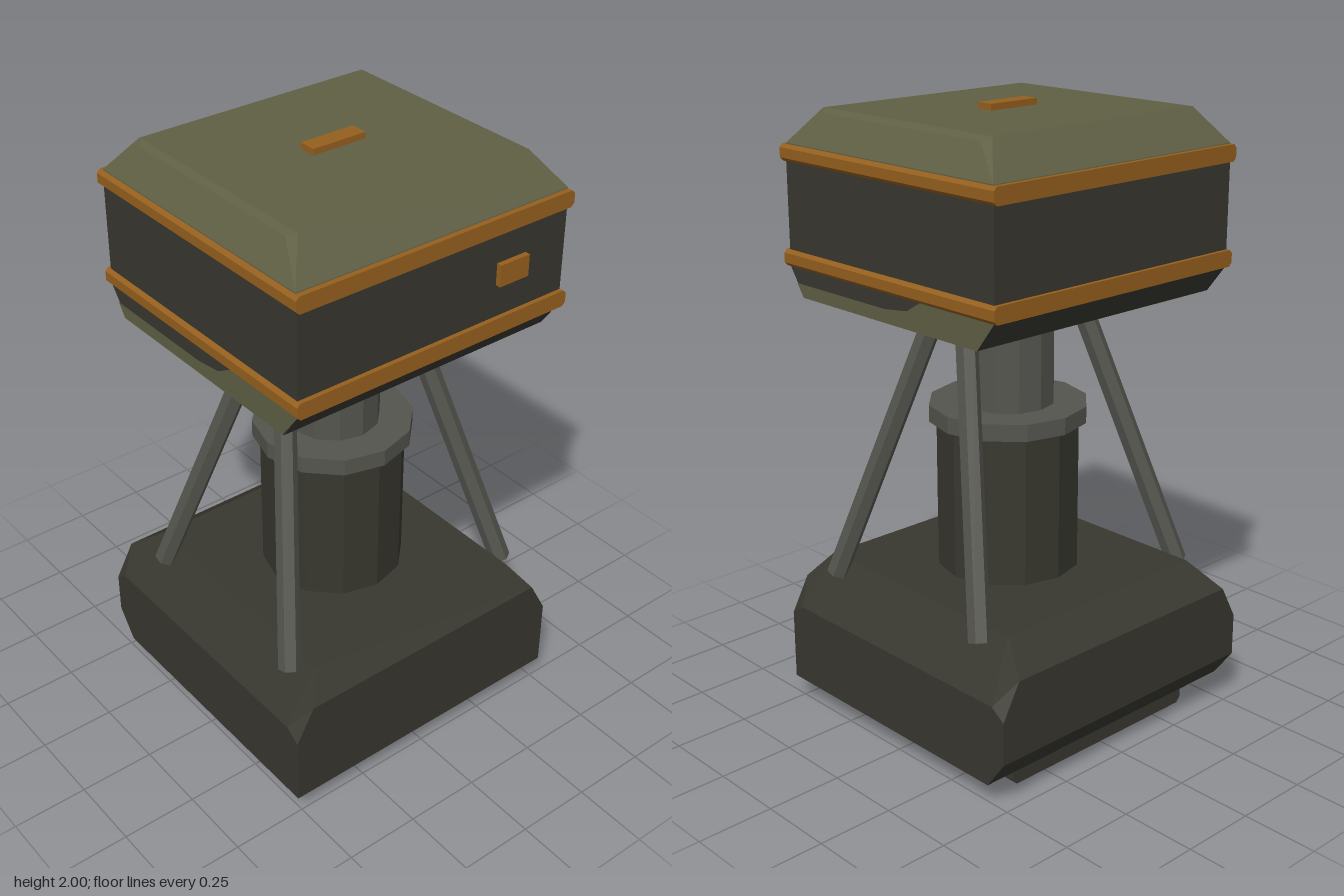
import * as THREE from 'three';
import { ConvexGeometry } from 'three/addons/geometries/ConvexGeometry.js';

const mat = (name, color) => {
  const m = new THREE.MeshStandardMaterial({ color });
  m.name = name;
  return m;
};

export function createModel() {
  const model = new THREE.Group();
  model.name = 'pedestalUnit';
  const dark = mat('darkMetal', 0x38372f);
  const olive = mat('olivePaint', 0x5f6044);
  const orange = mat('orangeTrim', 0x96601e);
  const grey = mat('greySteel', 0x55554f);
  const CZ = 0.025; // column and head sit slightly forward

  const add = (name, geo, material, x = 0, y = 0, z = 0) => {
    const mesh = new THREE.Mesh(geo, material);
    mesh.name = name;
    mesh.position.set(x, y, z);
    model.add(mesh);
    return mesh;
  };

  // Faceted block from the corners of its +x half, mirrored to -x
  const block = (name, material, corners) => {
    const pts = [];
    for (const [x, y, z] of corners)
      for (const s of [1, -1]) pts.push(new THREE.Vector3(s * x, y, z));
    return add(name, new ConvexGeometry(pts), material);
  };

  // Slab along z with chamfered long edges
  const slab = (name, material, hx, y0, y1, z0, z1, c) => {
    const s = new THREE.Shape([
      [-hx + c, y0], [hx - c, y0], [hx, y0 + c], [hx, y1 - c],
      [hx - c, y1], [-hx + c, y1], [-hx, y1 - c], [-hx, y0 + c],
    ].map(([x, y]) => new THREE.Vector2(x, y)));
    const geo = new THREE.ExtrudeGeometry(s, { depth: z1 - z0, bevelEnabled: false });
    return add(name, geo, material, 0, 0, z0);
  };

  const column = (name, material, r, y0, y1) => {
    const geo = new THREE.CylinderGeometry(r, r, y1 - y0, 12).toNonIndexed();
    geo.computeVertexNormals();
    add(name, geo, material, 0, (y0 + y1) / 2, CZ);
  };

  // Foot and chamfered base
  slab('foot', dark, 0.385, 0, 0.076, -0.405, 0.457, 0.016);
  block('base', dark, [
    [0.523, 0.075, 0.513], [0.523, 0.31, 0.513], [0.523, 0.345, 0.46],
    [0.46, 0.425, 0.513], [0.4, 0.51, 0.443],
    [0.523, 0.075, -0.44], [0.523, 0.17, -0.51], [0.523, 0.31, -0.51],
    [0.523, 0.345, -0.46], [0.46, 0.425, -0.51], [0.4, 0.51, -0.4],
  ]);

  // Telescoping column
  column('lowerColumn', dark, 0.233, 0.5, 1.0);
  column('collar', grey, 0.257, 1.0, 1.055);
  column('upperColumn', grey, 0.15, 1.055, 1.41);

  // Four splayed struts
  for (const sx of [1, -1]) for (const sz of [1, -1]) {
    const a = new THREE.Vector3(sx * 0.443, 0.475, CZ + sz * 0.345);
    const b = new THREE.Vector3(sx * 0.235, 1.385, CZ + sz * 0.065);
    const dir = b.clone().sub(a);
    const geo = new THREE.CylinderGeometry(0.035, 0.035, dir.length(), 6).toNonIndexed();
    geo.computeVertexNormals();
    const mid = a.add(b).multiplyScalar(0.5);
    const strut = add('strut', geo, grey, mid.x, mid.y, mid.z);
    strut.quaternion.setFromUnitVectors(new THREE.Vector3(0, 1, 0), dir.normalize());
  }

  // Head: dark underside and walls, olive roof
  block('headUnderside', dark, [
    [0.488, 1.4, 0.425], [0.488, 1.4, -0.37], [0.488, 1.49, 0.488], [0.488, 1.49, -0.44],
  ]);
  block('headWalls', dark, [
    [0.488, 1.49, 0.488], [0.488, 1.49, -0.44], [0.488, 1.86, 0.488], [0.488, 1.86, -0.44],
  ]);
  block('roof', olive, [
    [0.488, 1.86, 0.488], [0.488, 1.86, -0.44],
    [0.488, 1.872, 0.485], [0.488, 1.872, -0.437],
    [0.428, 1.965, 0.365], [0.428, 1.965, -0.325],
    [0.41, 1.98, 0.395], [0.41, 1.98, -0.35],
  ]);

  // Olive panels on the lower side faces
  const panelShape = new THREE.Shape([
    [0.425, 1.4], [0.455, 1.442], [0.03, 1.442], [-0.07, 1.455],
    [-0.13, 1.49], [-0.44, 1.49], [-0.37, 1.4],
  ].map(([z, y]) => new THREE.Vector2(CZ - z, y)));
  for (const s of [1, -1]) {
    const panel = add('lowerSidePanel', new THREE.ShapeGeometry(panelShape), olive, s * 0.49, 0, CZ);
    panel.rotation.y = s * Math.PI / 2;
  }

  // Trim bands around the head
  slab('lowerBand', orange, 0.5, 1.49, 1.543, -0.453, 0.503, 0.011);
  slab('upperBand', orange, 0.5, 1.816, 1.869, -0.453, 0.503, 0.011);

  // Front marker and roof marker
  add('frontMarker', new THREE.BoxGeometry(0.11, 0.07, 0.02), orange, 0.277, 1.683, 0.496);
  add('roofMarker', new THREE.BoxGeometry(0.188, 0.022, 0.057), orange, 0, 1.989, CZ);

  return model;
}
